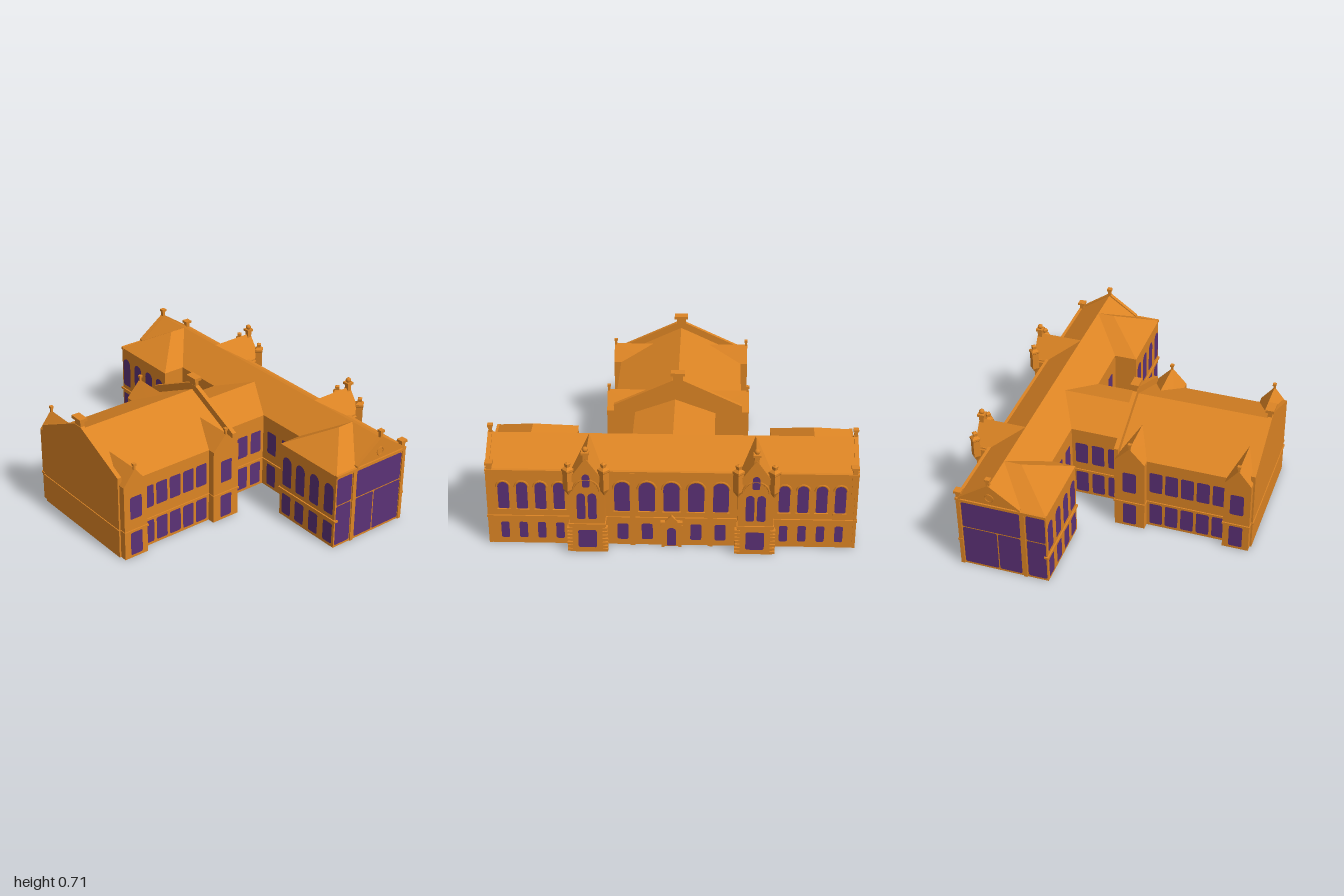
import * as THREE from 'three';
import { ConvexGeometry } from 'three/addons/geometries/ConvexGeometry.js';

export function createModel() {
  const model = new THREE.Group();
  const brick = new THREE.MeshStandardMaterial({ color: 0xdc8424 });
  brick.name = 'orange brick';
  const glass = new THREE.MeshStandardMaterial({ color: 0x5b3176 });
  glass.name = 'purple glass';

  const add = (name, geometry, material = brick) => {
    const mesh = new THREE.Mesh(geometry, material);
    mesh.name = name;
    model.add(mesh);
    return mesh;
  };
  const box = (name, x0, x1, y0, y1, z0, z1) =>
    add(name, new THREE.BoxGeometry(Math.abs(x1 - x0), y1 - y0, z1 - z0))
      .position.set((x0 + x1) / 2, (y0 + y1) / 2, (z0 + z1) / 2);
  const hull = (name, points) =>
    add(name, new ConvexGeometry(points.map(p => new THREE.Vector3(...p))));
  // square post with a wider cap
  const post = (name, x, z, y0, y1, w, d = w) => {
    box(name, x - w / 2, x + w / 2, y0, y1 - 0.012, z - d / 2, z + d / 2);
    box(name + 'Cap', x - w * 0.8, x + w * 0.8, y1 - 0.014, y1, z - d * 0.8, z + d * 0.8);
  };

  const FRONT = 0, BACK = Math.PI, LEFT = Math.PI / 2, RIGHT = -Math.PI / 2;
  // flat window standing just off a wall, with clipped corners or a round head
  const pane = (w, y0, y1, x, z, turn, arched = false) => {
    const s = new THREE.Shape(), r = w / 2, c = 0.007;
    s.moveTo(-r + c, y0);
    s.lineTo(r - c, y0);
    s.lineTo(r, y0 + c);
    if (arched) {
      s.lineTo(r, y1 - r);
      s.absarc(0, y1 - r, r, 0, Math.PI, false);
    } else {
      s.lineTo(r, y1 - c);
      s.lineTo(r - c, y1);
      s.lineTo(-r + c, y1);
      s.lineTo(-r, y1 - c);
    }
    s.lineTo(-r, y0 + c);
    const mesh = add('window', new THREE.ShapeGeometry(s, 8), glass);
    mesh.rotation.y = turn;
    mesh.position.set(x + Math.sin(turn) * 0.003, 0, z + Math.cos(turn) * 0.003);
  };
  const hood = (w, top, x, z) => {
    const r = w / 2 + 0.006;
    add('windowHood', new THREE.TorusGeometry(r, 0.006, 4, 10, Math.PI)).position.set(x, top - w / 2, z);
  };

  // rear range and the link to the hall
  box('rearRange', -0.99, 0.99, 0, 0.455, -0.69, -0.315);
  hull('rearRangeRoof', [-0.99, 0.99].flatMap(x =>
    [[x, 0.455, -0.69], [x, 0.455, -0.315], [x, 0.585, -0.5]]));
  box('rearStringCourse', -1, 1, 0.165, 0.177, -0.698, -0.67);
  box('rearCornice', -0.995, 0.995, 0.445, 0.462, -0.698, -0.67);
  box('link', -0.23, 0.23, 0, 0.455, -0.4, 0);
  hull('linkRoof', [[-0.23, 0.455, 0], [0.23, 0.455, 0], [0, 0.54, 0],
    [-0.23, 0.455, -0.315], [0.23, 0.455, -0.315], [0, 0.54, -0.44]]);
  box('linkStringCourse', -0.237, 0.237, 0.165, 0.177, -0.32, 0);

  // front hall with gabled end walls and chimneys
  const cx = -0.015;
  box('hall', -0.38, 0.35, 0, 0.455, 0, 0.785);
  hull('hallRoof', [0, 0.785].flatMap(z =>
    [[-0.38, 0.455, z], [0.35, 0.455, z], [cx, 0.63, z]]));
  box('hallStringCourse', -0.387, 0.357, 0.165, 0.177, -0.012, 0.8);
  for (const z of [-0.01, 0.77]) {
    const s = new THREE.Shape([[-0.367, 0], [0.367, 0], [0.367, 0.5], [0.03, 0.66], [-0.03, 0.66], [-0.367, 0.5]]
      .map(p => new THREE.Vector2(p[0], p[1])));
    add('gableWall', new THREE.ExtrudeGeometry(s, { depth: 0.025, bevelEnabled: false })).position.set(cx, 0, z);
    const zc = z + (z < 0 ? 0.012 : 0.01);
    box('chimney', cx - 0.028, cx + 0.028, 0.58, 0.7, zc - 0.012, zc + 0.012);
    box('chimneyCap', cx - 0.04, cx + 0.04, 0.692, 0.71, zc - 0.024, zc + 0.024);
  }

  for (const s of [-1, 1]) {
    const turn = s > 0 ? LEFT : RIGHT;
    const wall = cx + s * 0.365, face = cx + s * 0.407;

    // hall corner bays
    for (const [z0, z1] of [[0.005, 0.18], [0.635, 0.785]]) {
      const zc = (z0 + z1) / 2;
      box('cornerBay', cx + s * 0.3, face, 0, 0.455, z0, z1);
      box('cornerBayCourse', cx + s * 0.3, face + s * 0.007, 0.165, 0.177, z0 - 0.004, z1 + 0.004);
      hull('cornerBayRoof', [face, cx + s * 0.17].flatMap(x =>
        x === face ? [[x, 0.455, z0], [x, 0.455, z1], [x, 0.55, zc]]
          : [[x, 0.455, z0], [x, 0.455, z1], [x, 0.548, zc]]));
      post('bayFinial', face - s * 0.008, zc, 0.53, 0.58, 0.012);
      pane(0.077, 0.018, 0.16, face, zc, turn);
      pane(0.077, 0.245, 0.383, face, zc, turn);
    }
    // hall and link side windows
    for (let i = 0; i < 5; i++) {
      pane(0.074, 0.018, 0.16, wall, 0.235 + i * 0.091, turn);
      pane(0.074, 0.245, 0.383, wall, 0.235 + i * 0.091, turn);
    }
    for (const z of [-0.06, -0.158, -0.256]) {
      pane(0.074, 0.018, 0.16, s * 0.23, z, turn);
      pane(0.074, 0.228, 0.366, s * 0.23, z, turn);
    }
    // recessed front of the rear range
    for (const x of [0.31, 0.435]) {
      pane(0.075, 0.02, 0.157, s * x, -0.315, FRONT);
      pane(0.075, 0.23, 0.37, s * x, -0.315, FRONT);
    }
    box('recessStringCourse', s * 0.23, s * 0.54, 0.165, 0.177, -0.32, -0.307);

    // end pavilion with hipped roof
    box('pavilion', s * 0.54, s * 0.99, 0, 0.455, -0.5, -0.182);
    hull('pavilionRoof', [[s * 0.538, 0.455, -0.18], [s * 0.992, 0.455, -0.18], [s * 0.765, 0.585, -0.4],
      [s * 0.765, 0.585, -0.5], [s * 0.538, 0.455, -0.5], [s * 0.992, 0.455, -0.5]]);
    box('pavilionStringCourse', s * 0.533, s * 1, 0.165, 0.177, -0.2, -0.174);
    for (const x of [0.598, 0.708, 0.823, 0.941]) {
      pane(0.072, 0.204, 0.39, s * x, -0.182, FRONT, true);
      pane(0.072, 0.02, 0.148, s * x, -0.182, FRONT);
    }

    // glazed end wall: tall panes, transom, gable coping and round vent
    const end = s * 0.99;
    for (const [y0, y1] of [[0.015, 0.263], [0.269, 0.437]]) {
      pane(0.108, y0, y1, end, -0.242, turn);
      if (y0 > 0.2) pane(0.334, y0, y1, end, -0.499, turn);
      else {
        pane(0.13, y0, y1, end, -0.398, turn);
        pane(0.197, y0, y1, end, -0.568, turn);
      }
    }
    for (const z of [-0.314, -0.682]) box('endPier', s * 0.98, s * 0.997, 0, 0.447, z - 0.011, z + 0.011);
    box('endCornice', s * 0.98, s * 0.999, 0.443, 0.459, -0.69, -0.18);
    for (const z of [-0.68, -0.325])
      hull('gableCoping', [s * 0.975, s * 0.998].flatMap(x =>
        [[x, 0.452, z], [x, 0.47, z], [x, 0.578, -0.5], [x, 0.595, -0.5]]));
    const vent = add('roundVent', new THREE.TorusGeometry(0.023, 0.004, 4, 16));
    vent.rotation.y = turn;
    vent.position.set(end, 0.503, -0.5);
    post('gableFinial', s * 0.985, -0.5, 0.57, 0.633, 0.018);
    post('rearCornerPost', s * 0.975, -0.682, 0.33, 0.505, 0.026);

    // rear windows beside the projecting bay
    for (const x of [0.605, 0.705, 0.805, 0.905]) {
      pane(0.06, 0.22, 0.385, s * x, -0.69, BACK, true);
      hood(0.06, 0.385, s * x, -0.692);
      pane(0.045, 0.035, 0.135, s * x, -0.69, BACK);
      box('rearSill', s * x - 0.037, s * x + 0.037, 0.208, 0.218, -0.698, -0.685);
    }

    // projecting rear bay with gable, corner turrets and banded corners
    const bx = s * 0.45;
    box('rearBay', bx - 0.095, bx + 0.095, 0, 0.455, -0.77, -0.6);
    hull('rearBayRoof', [-0.775, -0.5].flatMap(z =>
      [[bx - 0.1, 0.44, z], [bx + 0.1, 0.44, z], [bx, 0.585, z]]));
    box('rearBayCourse', bx - 0.1, bx + 0.1, 0.165, 0.18, -0.778, -0.68);
    pane(0.1, 0.03, 0.14, bx, -0.77, BACK);
    for (const dx of [-0.03, 0.03]) pane(0.046, 0.21, 0.37, bx + dx, -0.77, BACK, true);
    pane(0.04, 0.41, 0.49, bx, -0.775, BACK, true);
    hood(0.13, 0.45, bx, -0.774);
    post('gablePinnacle', bx, -0.76, 0.555, 0.62, 0.026);
    add('pinnacleKnob', new THREE.SphereGeometry(0.016, 8, 6)).position.set(bx, 0.632, -0.76);
    for (const dx of [-0.095, 0.095]) {
      const x = bx + dx;
      for (let i = 0; i < 7; i++)
        box('bandedCorner', x - 0.014, x + 0.014, 0.008 + i * 0.022, 0.022 + i * 0.022, -0.778, -0.742);
      const profile = [[0, 0.355], [0.028, 0.395], [0.028, 0.5], [0.033, 0.505], [0.033, 0.517],
        [0.014, 0.53], [0.018, 0.55], [0, 0.558]].map(p => new THREE.Vector2(p[0], p[1]));
      const lathe = new THREE.LatheGeometry(profile, 4).toNonIndexed();
      lathe.computeVertexNormals();
      add('cornerTurret', lathe).position.set(x, 0, -0.768);
    }
    box('rearPilaster', s * 0.21 - 0.014, s * 0.21 + 0.014, 0, 0.455, -0.7, -0.685);
  }

  // central rear windows
  for (let i = -2; i <= 2; i++) {
    const x = i * 0.132;
    pane(0.088, 0.215, 0.395, x, -0.69, BACK, true);
    hood(0.088, 0.395, x, -0.692);
    box('rearSill', x - 0.05, x + 0.05, 0.203, 0.213, -0.698, -0.685);
    if (i) pane(0.06, 0.035, 0.135, x, -0.69, BACK);
  }

  // rear doorway
  box('doorSurround', -0.055, 0.055, 0, 0.135, -0.705, -0.68);
  pane(0.05, 0.005, 0.12, 0, -0.705, BACK, true);
  for (const x of [-0.046, 0.046]) post('doorPost', x, -0.705, 0, 0.16, 0.016);
  hull('doorPediment', [-0.71, -0.68].flatMap(z =>
    [[-0.06, 0.135, z], [0.06, 0.135, z], [0, 0.195, z]]));

  return model;
}
